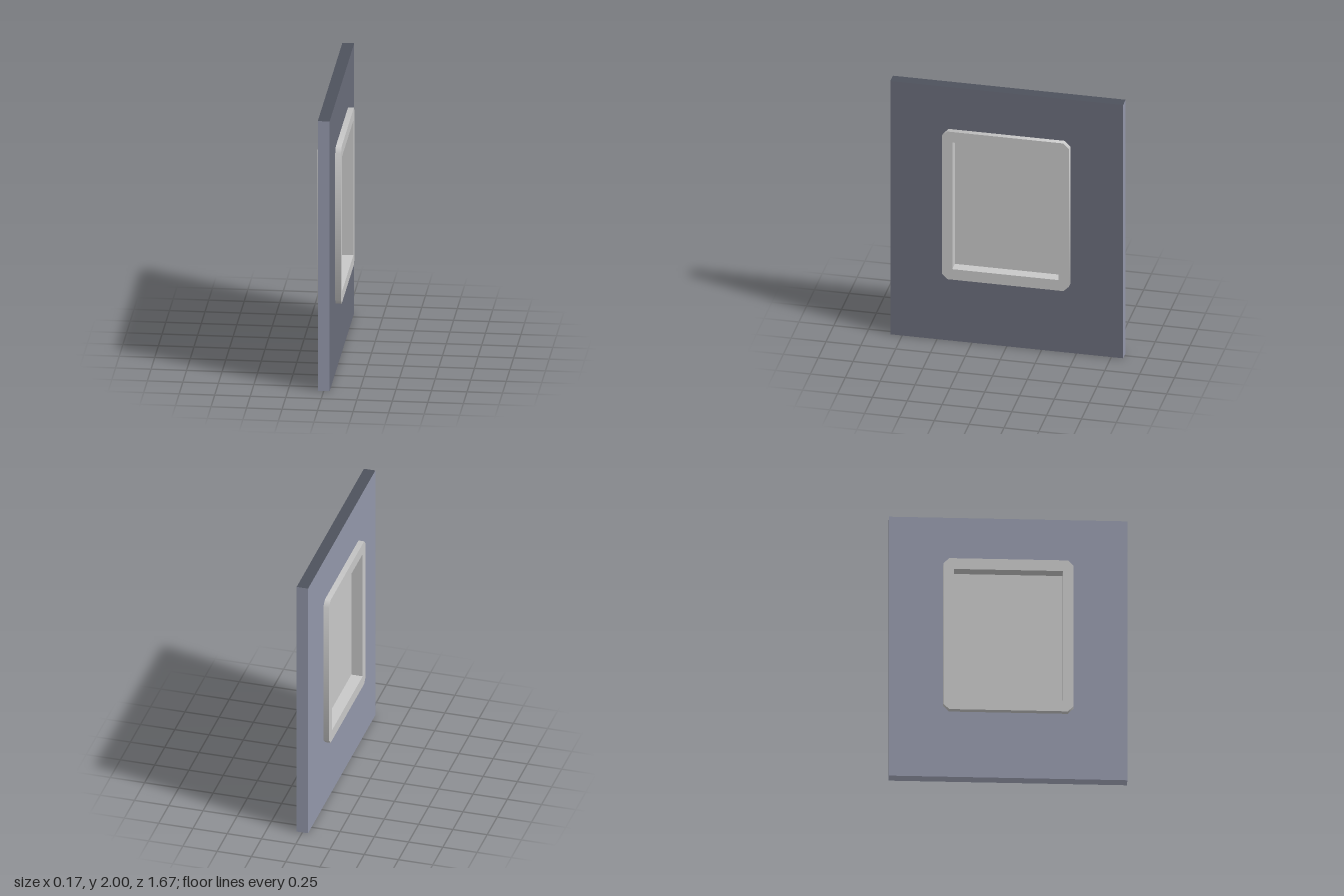
import * as THREE from 'three';

const mat = (name, color, side = THREE.FrontSide) => {
  const m = new THREE.MeshStandardMaterial({ color, side });
  m.name = name;
  return m;
};

export function createModel() {
  const group = new THREE.Group();
  const paleSlate = mat('paleSlate', 0x9397aa, THREE.DoubleSide);
  const darkSlate = mat('darkSlate', 0x6a6d7b, THREE.DoubleSide);
  const charcoal = mat('charcoal', 0x4e525c, THREE.DoubleSide);
  const lightGrey = mat('lightGrey', 0xc8c8c8, THREE.DoubleSide);

  const T = 0.0417, W = 0.835;              // wall half thickness, half width
  const CY = 1.087;                         // window centre height
  const FW = 0.456, FH = 0.583, CH = 0.04;  // frame half size and corner cut
  const OW = 0.381, OH = 0.5;               // opening half size
  const FT = 0.083;                         // frame half depth

  const add = (name, geo, material, x = 0, y = 0, z = 0, ry = 0, rx = 0) => {
    const mesh = new THREE.Mesh(geo, material);
    mesh.name = name;
    mesh.position.set(x, y, z);
    mesh.rotation.set(rx, ry, 0);
    group.add(mesh);
  };
  const rect = (w, y0, y1, Type) => new Type([
    new THREE.Vector2(-w, y0), new THREE.Vector2(w, y0),
    new THREE.Vector2(w, y1), new THREE.Vector2(-w, y1),
  ]);

  // Broad wall faces with the window opening cut out
  const face = rect(W, 0, 2, THREE.Shape);
  face.holes.push(rect(OW, CY - OH, CY + OH, THREE.Path));
  const faceGeo = new THREE.ShapeGeometry(face);
  add('wallLeftFace', faceGeo, darkSlate, T, 0, 0, Math.PI / 2);
  add('wallRightFace', faceGeo, paleSlate, -T, 0, 0, -Math.PI / 2);

  // Narrow wall ends and top; the underside is open
  const endGeo = new THREE.PlaneGeometry(2 * T, 2);
  add('wallFrontEnd', endGeo, paleSlate, 0, 1, W);
  add('wallBackEnd', endGeo, paleSlate, 0, 1, -W, Math.PI);
  add('wallTop', new THREE.PlaneGeometry(2 * T, 2 * W), charcoal, 0, 2, 0, 0, -Math.PI / 2);

  // Window frame standing proud on both sides, with cut corners
  const outline = new THREE.Shape([
    [FW, -FH + CH], [FW, FH - CH], [FW - CH, FH], [-FW + CH, FH],
    [-FW, FH - CH], [-FW, -FH + CH], [-FW + CH, -FH], [FW - CH, -FH],
  ].map(([x, y]) => new THREE.Vector2(x, y)));
  outline.holes.push(rect(OW, -OH, OH, THREE.Path));
  const frameGeo = new THREE.ExtrudeGeometry(outline, { depth: 2 * FT, bevelEnabled: false });
  frameGeo.translate(0, 0, -FT);

  // Smooth the outer rim by averaging the normals at each corner
  const p = frameGeo.attributes.position, n = frameGeo.attributes.normal;
  const c = Math.cos(Math.PI / 8), s = Math.sin(Math.PI / 8);
  for (let i = 0; i < p.count; i++) {
    const x = p.getX(i), y = p.getY(i);
    const outer = Math.abs(x) > OW + 0.01 || Math.abs(y) > OH + 0.01;
    if (!outer || Math.abs(n.getZ(i)) > 0.5) continue;
    const onSide = Math.abs(x) > FW - 0.01;
    n.setXYZ(i, Math.sign(x) * (onSide ? c : s), Math.sign(y) * (onSide ? s : c), 0);
  }
  add('windowFrame', frameGeo, lightGrey, 0, CY, 0, Math.PI / 2);

  // Pane in the middle of the wall
  add('windowPane', new THREE.PlaneGeometry(2 * OW, 2 * OH), lightGrey, 0, CY, 0, Math.PI / 2);

  return group;
}
